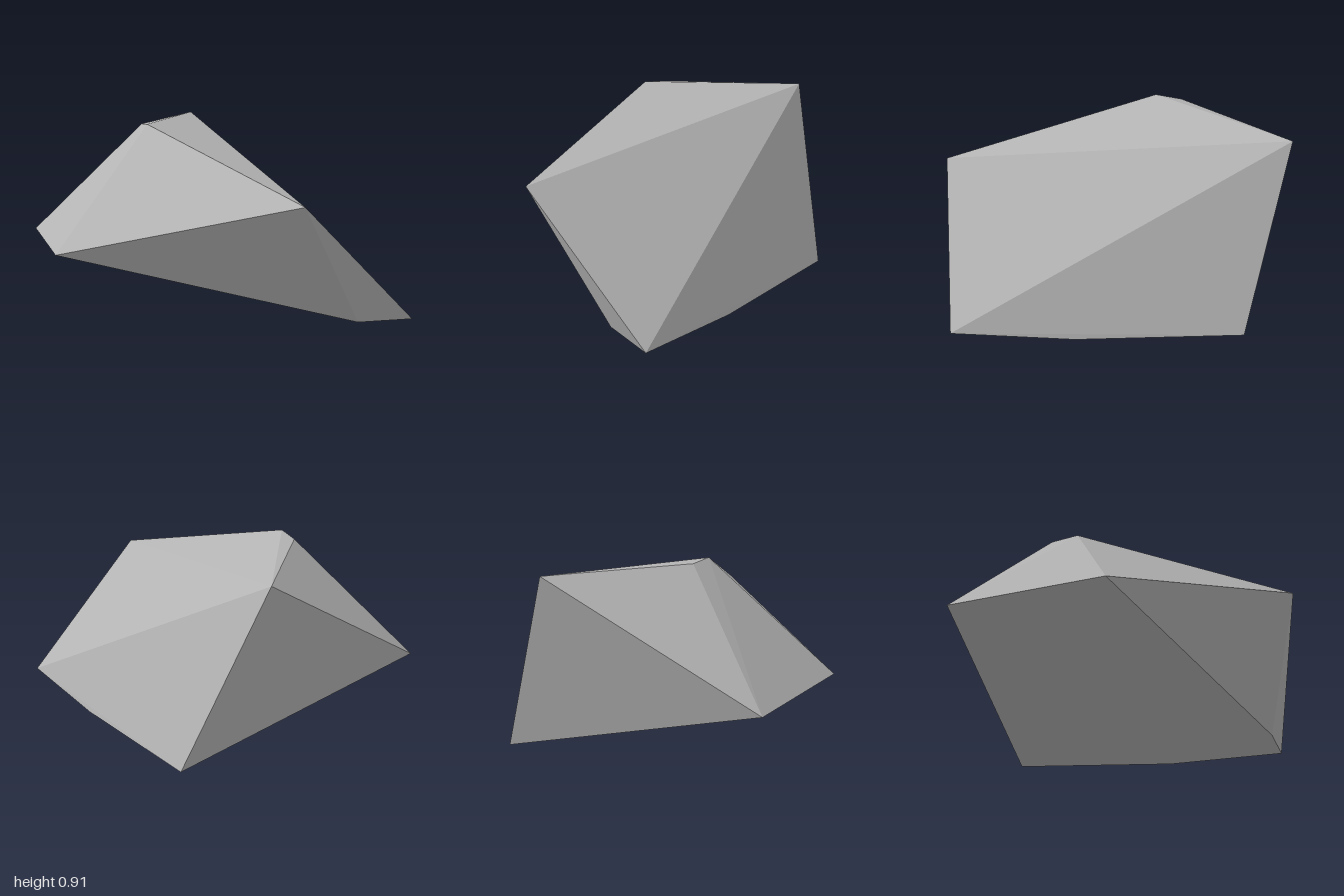
import * as THREE from 'three';
import { ConvexGeometry } from 'three/addons/geometries/ConvexGeometry.js';

export function createModel() {
  const group = new THREE.Group();
  group.name = 'rock';

  const stone = new THREE.MeshStandardMaterial({ color: 0xb4b4b4 });
  stone.name = 'grey stone';

  // Corners of the faceted boulder, wrapped in a convex hull
  const corners = [
    // crown
    [-0.555, 0.875, -0.625], [-0.43, 0.897, 0.085], [-0.335, 0.912, 0.18], [0.695, 0.667, 0.55],
    // middle
    [-1, 0.32, 0.265], [-0.475, 0.357, 0.768],
    // base
    [1, 0.045, -0.035], [0.8, 0.053, 0.157], [0.5, 0, -0.35], [-0.195, 0, -0.77],
  ].map((p) => new THREE.Vector3(...p));

  const boulder = new THREE.Mesh(new ConvexGeometry(corners), stone);
  boulder.name = 'boulder';
  group.add(boulder);
  return group;
}
